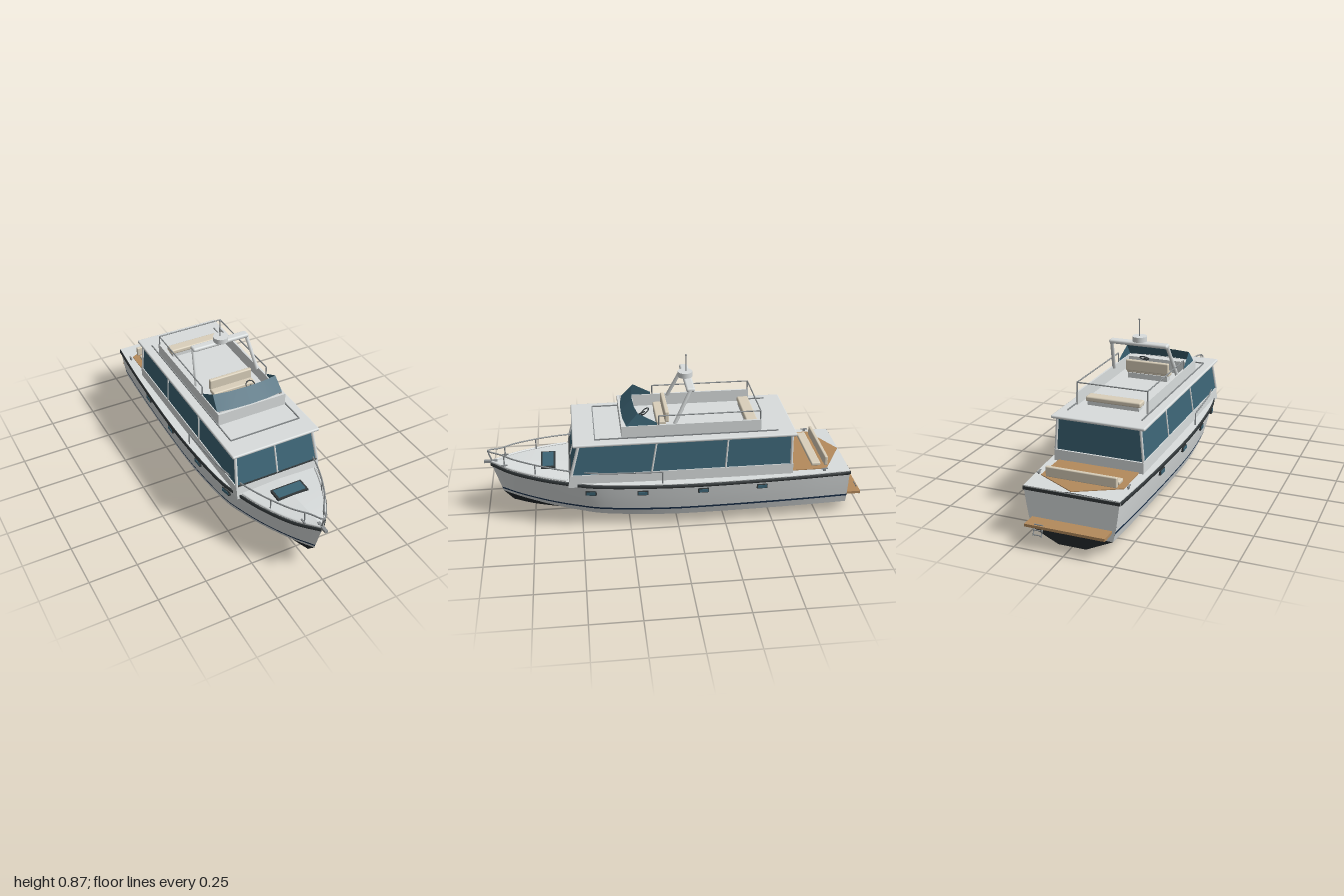
import * as THREE from 'three';
import { RoundedBoxGeometry } from 'three/addons/geometries/RoundedBoxGeometry.js';

const V = (x, y, z) => new THREE.Vector3(x, y, z);
const mat = (name, color, side = THREE.FrontSide) => {
  const m = new THREE.MeshStandardMaterial({ color, side });
  m.name = name;
  return m;
};

export function createModel() {
  const boat = new THREE.Group();
  boat.name = 'motorYacht';
  const white = mat('white', 0xd9dddd, THREE.DoubleSide);
  const black = mat('bottomBlack', 0x24292c, THREE.DoubleSide);
  const navy = mat('navy', 0x1b3350);
  const dark = mat('darkTrim', 0x33393b);
  const glass = mat('glass', 0x3c6576, THREE.DoubleSide);
  const teak = mat('teak', 0xb48a5c);
  const cream = mat('cream', 0xdad0bb);
  const metal = mat('metal', 0x8b9092);

  const add = (name, geo, m, x = 0, y = 0, z = 0) => {
    const mesh = new THREE.Mesh(geo, m);
    mesh.name = name;
    mesh.position.set(x, y, z);
    boat.add(mesh);
    return mesh;
  };
  const box = (name, m, w, h, d, x, y, z) => add(name, new THREE.BoxGeometry(w, h, d), m, x, y, z);
  const cushion = (name, w, h, d, x, y, z) =>
    add(name, new RoundedBoxGeometry(w, h, d, 2, Math.min(w, h, d) * 0.3), cream, x, y, z);
  // Round bar between two points
  const bar = (name, m, a, b, r) => {
    const d = b.clone().sub(a);
    const mesh = add(name, new THREE.CylinderGeometry(r, r, d.length(), 8), m);
    mesh.position.copy(a).add(b).multiplyScalar(0.5);
    mesh.quaternion.setFromUnitVectors(V(0, 1, 0), d.normalize());
    return mesh;
  };
  const tube = (name, m, pts, r, n = 48) =>
    add(name, new THREE.TubeGeometry(new THREE.CatmullRomCurve3(pts), n, r, 8), m);
  // Surface through rows of points; flip for the mirrored side
  const loft = (name, m, rows, flip) => {
    const n = rows[0].length, idx = [];
    for (let r = 0; r < rows.length - 1; r++) for (let i = 0; i < n - 1; i++) {
      const a = r * n + i, b = a + n;
      if (flip) idx.push(a, a + 1, b, b, a + 1, b + 1);
      else idx.push(a, b, a + 1, b, b + 1, a + 1);
    }
    const g = new THREE.BufferGeometry().setFromPoints(rows.flat());
    g.setIndex(idx);
    g.computeVertexNormals();
    return add(name, g, m);
  };
  // Box whose top and bottom rectangles differ: [half width, y, z back, z front]
  const frustum = (name, m, bot, top) => {
    const g = new THREE.BoxGeometry(1, 1, 1), p = g.attributes.position;
    for (let i = 0; i < p.count; i++) {
      const [w, y, z0, z1] = p.getY(i) > 0 ? top : bot;
      p.setXYZ(i, Math.sign(p.getX(i)) * w, y, p.getZ(i) > 0 ? z1 : z0);
    }
    g.computeVertexNormals();
    return add(name, g, m);
  };

  // Hull lines from stern to bow
  const F = [0, 0.16, 0.38, 0.54, 0.7, 0.78, 0.86, 0.94, 1];
  const line = (w, y, zEnd) => new THREE.CatmullRomCurve3(
    F.map((f, i) => V(w[i], y[i], -0.905 + f * (zEnd + 0.905))), false, 'catmullrom');
  const sheer = line([.24, .26, .274, .271, .25, .217, .167, .092, .001],
    [.272, .272, .272, .274, .28, .287, .295, .304, .313], 0.965);
  const chine = line([.205, .218, .226, .224, .2, .165, .116, .055, .001],
    [.065, .065, .065, .067, .076, .086, .1, .118, .135], 0.91);
  const keel = line([.07, .07, .07, .07, .06, .05, .035, .018, .001],
    [0, 0, 0, 0, .01, .02, .035, .055, .08], 0.86);
  const N = 56, U = Array.from({ length: N + 1 }, (_, i) => i / N);
  const side = (u, k) => {
    const a = chine.getPoint(u), b = sheer.getPoint(u);
    return V(THREE.MathUtils.lerp(a.x, b.x, Math.pow(k, 0.75)),
      THREE.MathUtils.lerp(a.y, b.y, k), THREE.MathUtils.lerp(a.z, b.z, k));
  };
  const uAt = (z) => {
    let lo = 0, hi = 1;
    for (let i = 0; i < 30; i++) {
      const mid = (lo + hi) / 2;
      if (sheer.getPoint(mid).z < z) lo = mid; else hi = mid;
    }
    return lo;
  };
  const sheerAt = (z) => sheer.getPoint(uAt(z));
  const k0 = (u) => 0.2 - 0.12 * u * u, k1 = (u) => k0(u) + 0.055;

  for (const s of [1, -1]) {
    const row = (f) => U.map((u) => { const p = f(u); p.x *= s; return p; });
    const strip = (name, m, fs) => loft(name, m, fs.map(row), s < 0);
    strip('hullBottom', black, [(u) => keel.getPoint(u).setX(0), (u) => keel.getPoint(u), (u) => chine.getPoint(u)]);
    strip('hullLowerSide', white, [(u) => side(u, 0), (u) => side(u, k0(u))]);
    strip('waterlineStripe', navy, [(u) => side(u, k0(u)), (u) => side(u, k1(u))]);
    strip('hullSide', white, [0, 0.25, 0.5, 0.75, 1].map((t) => (u) => side(u, k1(u) + t * (1 - k1(u)))));
    strip('deck', white, [(u) => sheer.getPoint(u),
      (u) => { const p = sheer.getPoint(u); return V(0, p.y + 0.003 + 0.008 * u, p.z); }]);
    strip('rubRail', dark, [[-.004, -.021], [.005, -.021], [.005, -.006], [-.004, -.004]].map(([dx, dy]) =>
      (u) => sheer.getPoint(u).add(V(dx, dy, 0))));
    // Low toe rail around the foredeck
    const toe = [0.57, 0.65, 0.73, 0.81, 0.88, 0.93, 0.962].map((z) => sheerAt(z));
    tube('toeRail', white, toe.map((p) => V(s * Math.max(p.x - 0.006, 0), p.y + 0.003, p.z)), 0.006, 24);
    // Portholes
    for (const z of [0.46, 0.195, -0.12, -0.43]) {
      const u = uAt(z), p = side(u, 0.76), q = side(u + 0.01, 0.76);
      const yaw = s * Math.atan2(q.x - p.x, q.z - p.z);
      box('portholeFrame', dark, 0.016, 0.024, 0.056, s * p.x, 0.225, p.z).rotation.y = yaw;
      box('portholeGlass', glass, 0.022, 0.016, 0.046, s * p.x, 0.225, p.z).rotation.y = yaw;
    }
    // Bow rail with posts
    const railAt = (z) => {
      const p = sheerAt(Math.min(z, 0.955));
      return V(s * (p.x - 0.012), 0.34 + 0.035 * Math.max(0, (z - 0.5) / 0.46), z);
    };
    const zs = [0.085, 0.25, 0.4, 0.55, 0.65, 0.75, 0.84, 0.91];
    tube('bowRail', metal, [...zs.map(railAt), V(s * 0.012, 0.378, 0.965), V(0, 0.379, 0.975)], 0.004);
    for (const z of [0.085, 0.55, 0.73, 0.89]) {
      const t = railAt(z);
      bar('railPost', metal, V(t.x, sheerAt(z).y, z), t, 0.0035);
    }
    // Cleats
    for (const [x, y, z] of [[0.06, 0.312, 0.89], [0.228, 0.28, -0.77]]) {
      box('cleatBase', metal, 0.006, 0.012, 0.014, s * x, y, z);
      box('cleatHorn', metal, 0.007, 0.005, 0.034, s * x, y + 0.007, z);
    }
    // Cabin window posts
    for (const [zb, zt, r] of [[0.548, 0.503, .008], [0.137, 0.108, .005], [-0.245, -0.258, .005], [-0.59, -0.59, .007]])
      bar('windowPost', white, V(s * 0.228, 0.328, zb), V(s * 0.214, 0.495, zt), r);
    // Flybridge side, roof grab rail, radar arch leg
    box('coamingSide', white, 0.01, 0.065, 0.715, s * 0.185, 0.5405, -0.0725);
    box('roofRail', metal, 0.005, 0.006, 0.94, s * 0.193, 0.511, -0.05);
    bar('archLeg', white, V(s * 0.177, 0.565, 0.015), V(s * 0.152, 0.742, -0.07), 0.01);
    bar('flybridgeRailPost', metal, V(s * 0.185, 0.57, 0.095), V(s * 0.185, 0.622, 0.095), 0.0035);
    bar('flybridgeRailPost', metal, V(s * 0.185, 0.51, -0.425), V(s * 0.185, 0.622, -0.425), 0.0035);
    bar('flybridgeRail', metal, V(s * 0.185, 0.622, 0.095), V(s * 0.185, 0.622, -0.425), 0.0035);
    // Flybridge windscreen: half the front panel and one wing
    loft('windscreen', glass, [[V(0, .573, .277), V(s * .1, .573, .273), V(s * .185, .573, .26)],
      [V(0, .638, .217), V(s * .1, .638, .213), V(s * .178, .638, .2)]], s > 0);
    loft('windscreenWing', glass, [[V(s * .185, .573, .26), V(s * .185, .573, .105)],
      [V(s * .178, .638, .2), V(s * .185, .585, .105)]], s < 0);
  }

  // Transom
  const plate = (name, m, pts) =>
    add(name, new THREE.ShapeGeometry(new THREE.Shape(pts.map(([x, y]) => new THREE.Vector2(x, y)))), m, 0, 0, -0.905);
  const right = [0, 0.25, 0.5, 0.75, 1].map((k) => side(0, k)).map((p) => [p.x, p.y]);
  plate('transom', white, [...right, ...right.map(([x, y]) => [-x, y]).reverse()]);
  plate('transomBottom', black, [[-0.205, 0.065], [-0.07, 0], [0.07, 0], [0.205, 0.065]]);
  box('transomRail', dark, 0.484, 0.015, 0.008, 0, 0.259, -0.905);

  // Swim platform and ladder
  box('swimPlatform', teak, 0.4, 0.014, 0.08, 0, 0.113, -0.945);
  for (const x of [0.108, 0.15])
    bar('ladderRail', metal, V(x, 0.124, -0.975), V(x, 0.073, -0.998), 0.003);
  for (const [y, z] of [[0.123, -0.976], [0.1, -0.987], [0.08, -0.995]])
    bar('ladderRung', metal, V(0.108, y, z), V(0.15, y, z), 0.003);

  // Cockpit sole and bench
  const sole = new THREE.Shape([[-.21, .6], [.21, .6], [.21, .785], [0, .9], [-.21, .785]]
    .map(([x, y]) => new THREE.Vector2(x, -y)).reverse());
  const soleGeo = new THREE.ExtrudeGeometry(sole, { depth: 0.004, bevelEnabled: false });
  soleGeo.rotateX(-Math.PI / 2).scale(1, 1, -1);
  soleGeo.index || soleGeo.scale(1, 1, 1);
  const soleMesh = add('cockpitSole', soleGeo.rotateZ(Math.PI), teak, 0, 0.279, 0);
  soleMesh.material = teak.clone();
  soleMesh.material.side = THREE.DoubleSide;
  cushion('cockpitSeat', 0.355, 0.018, 0.048, 0, 0.286, -0.737);
  cushion('cockpitBackrest', 0.36, 0.052, 0.018, 0, 0.304, -0.79);

  // Cabin
  frustum('cabinBase', white, [0.232, 0.262, -0.6, 0.565], [0.232, 0.33, -0.6, 0.553]);
  frustum('cabinWindows', glass, [0.227, 0.33, -0.59, 0.547], [0.213, 0.494, -0.59, 0.502]);
  bar('windshieldPost', white, V(0, 0.328, 0.549), V(0, 0.495, 0.504), 0.005);
  box('windshieldSill', dark, 0.45, 0.004, 0.008, 0, 0.331, 0.55);
  add('cabinRoof', new RoundedBoxGeometry(0.484, 0.016, 1.145, 2, 0.007), white, 0, 0.5, -0.038);
  box('roofCrossRail', metal, 0.386, 0.006, 0.005, 0, 0.511, 0.42);

  // Foredeck hatch and bow roller
  box('hatchFrame', dark, 0.17, 0.012, 0.075, 0, 0.304, 0.665);
  box('hatchGlass', glass, 0.15, 0.006, 0.058, 0, 0.309, 0.665);
  box('bowRoller', metal, 0.016, 0.012, 0.07, 0, 0.316, 0.963);
  bar('bowRailStem', metal, V(0, 0.315, 0.955), V(0, 0.379, 0.975), 0.004);

  // Flybridge
  box('coamingFront', white, 0.38, 0.065, 0.014, 0, 0.5405, 0.278);
  box('console', white, 0.34, 0.07, 0.05, 0, 0.541, 0.23);
  bar('flybridgeBackRail', metal, V(-0.185, 0.622, -0.425), V(0.185, 0.622, -0.425), 0.0035);
  box('helmSeatBase', white, 0.22, 0.03, 0.05, 0, 0.522, 0.072);
  cushion('helmSeat', 0.24, 0.022, 0.05, 0, 0.547, 0.075);
  cushion('helmBackrest', 0.24, 0.06, 0.022, 0, 0.58, 0.047);
  box('aftSeatBase', white, 0.27, 0.02, 0.05, 0, 0.518, -0.39);
  cushion('aftSeat', 0.29, 0.026, 0.06, 0, 0.54, -0.39);
  add('steeringWheel', new THREE.TorusGeometry(0.024, 0.003, 8, 24), dark, 0.06, 0.59, 0.155).rotation.x = -0.9;
  bar('steeringColumn', dark, V(0.06, 0.59, 0.155), V(0.06, 0.565, 0.21), 0.004);

  // Radar arch, dome and aerial
  add('archTop', new RoundedBoxGeometry(0.32, 0.022, 0.045, 3, 0.01), white, 0, 0.741, -0.07);
  add('radarDome', new THREE.CylinderGeometry(0.038, 0.038, 0.027, 28), white, 0, 0.765, -0.06);
  bar('aerial', metal, V(0, 0.775, -0.065), V(0, 0.868, -0.065), 0.0025);
  add('aerialTip', new THREE.SphereGeometry(0.005, 10, 8), metal, 0, 0.867, -0.065);
  return boat;
}
